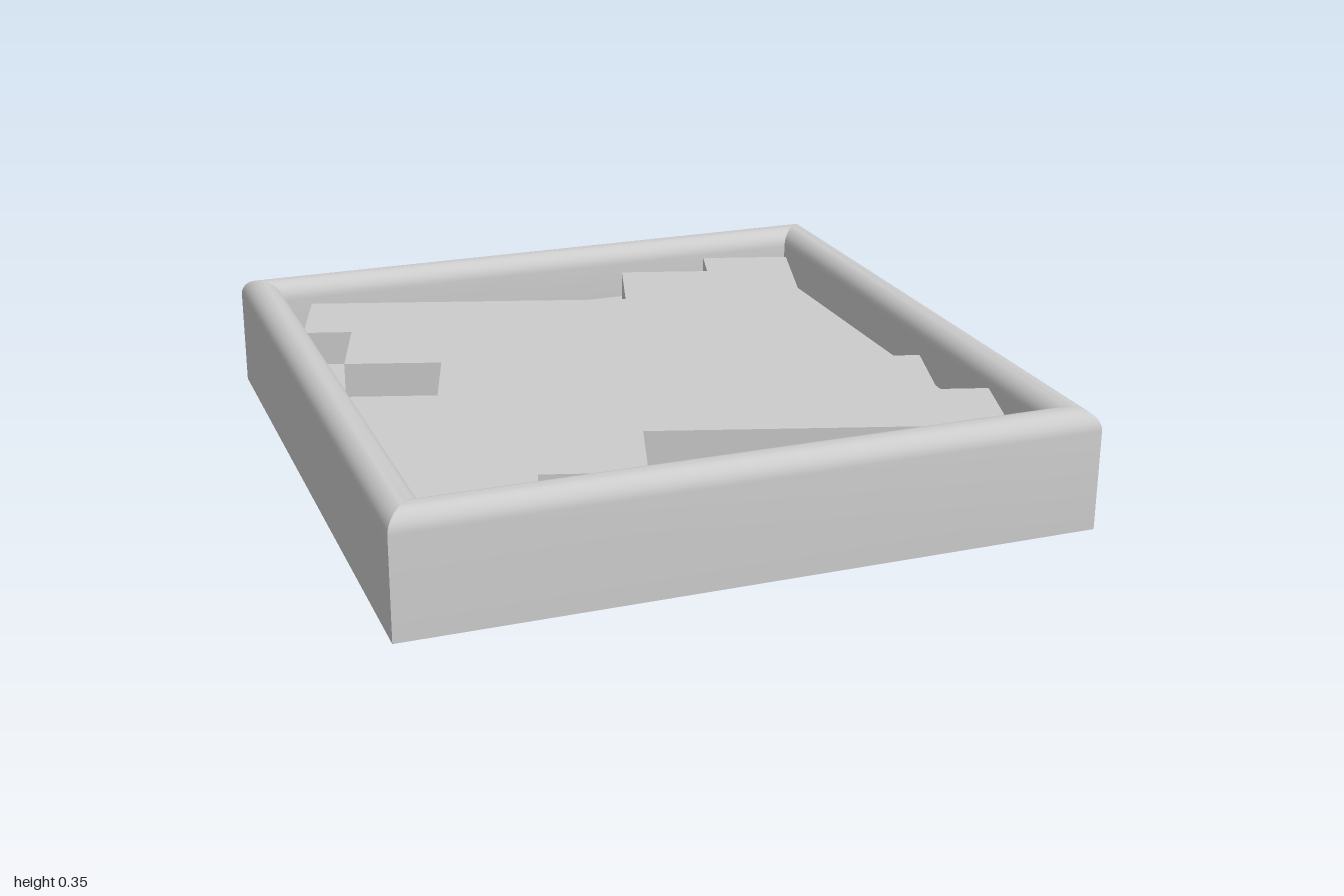
import * as THREE from 'three';
import { toCreasedNormals } from 'three/addons/utils/BufferGeometryUtils.js';

const HEIGHT = 0.352, FLOOR = 0.18, PLATE_TOP = 0.285;
const RIM_R = 0.0575; // half the rim width

export function createModel() {
  const group = new THREE.Group();
  const material = new THREE.MeshStandardMaterial({ color: 0xcccccc });

  // Square tray: half cross-section swept round four mitred corners
  const profile = [[0, 0], [1, 0]];
  const steps = 16;
  for (let i = 0; i <= steps; i++) {
    const a = (i / steps) * Math.PI;
    profile.push([1 - RIM_R + RIM_R * Math.cos(a), HEIGHT - RIM_R + RIM_R * Math.sin(a)]);
  }
  profile.push([1 - 2 * RIM_R, FLOOR], [0, FLOOR]);
  const points = profile.map(([r, y]) => new THREE.Vector2(r * Math.SQRT2, y));
  const trayGeometry = toCreasedNormals(new THREE.LatheGeometry(points, 4, Math.PI / 4), 0.4);
  const tray = new THREE.Mesh(trayGeometry, material);
  tray.name = 'tray';
  group.add(tray);

  // Raised stepped pinwheel: one side (x, z) repeated by quarter turns
  const side = [[-0.8, -0.853], [0.172, -0.55], [0.258, -0.826], [0.535, -0.741], [0.578, -0.884]];
  const outline = [];
  for (let k = 0; k < 4; k++) {
    for (let [x, z] of side) {
      for (let n = 0; n < k; n++) [x, z] = [-z, x];
      outline.push(new THREE.Vector2(x, -z));
    }
  }
  const plateGeometry = new THREE.ExtrudeGeometry(new THREE.Shape(outline), {
    depth: PLATE_TOP - FLOOR,
    bevelEnabled: false,
  });
  plateGeometry.rotateX(-Math.PI / 2);
  const plate = new THREE.Mesh(plateGeometry, material);
  plate.name = 'raisedPlate';
  plate.position.y = FLOOR;
  group.add(plate);

  return group;
}
